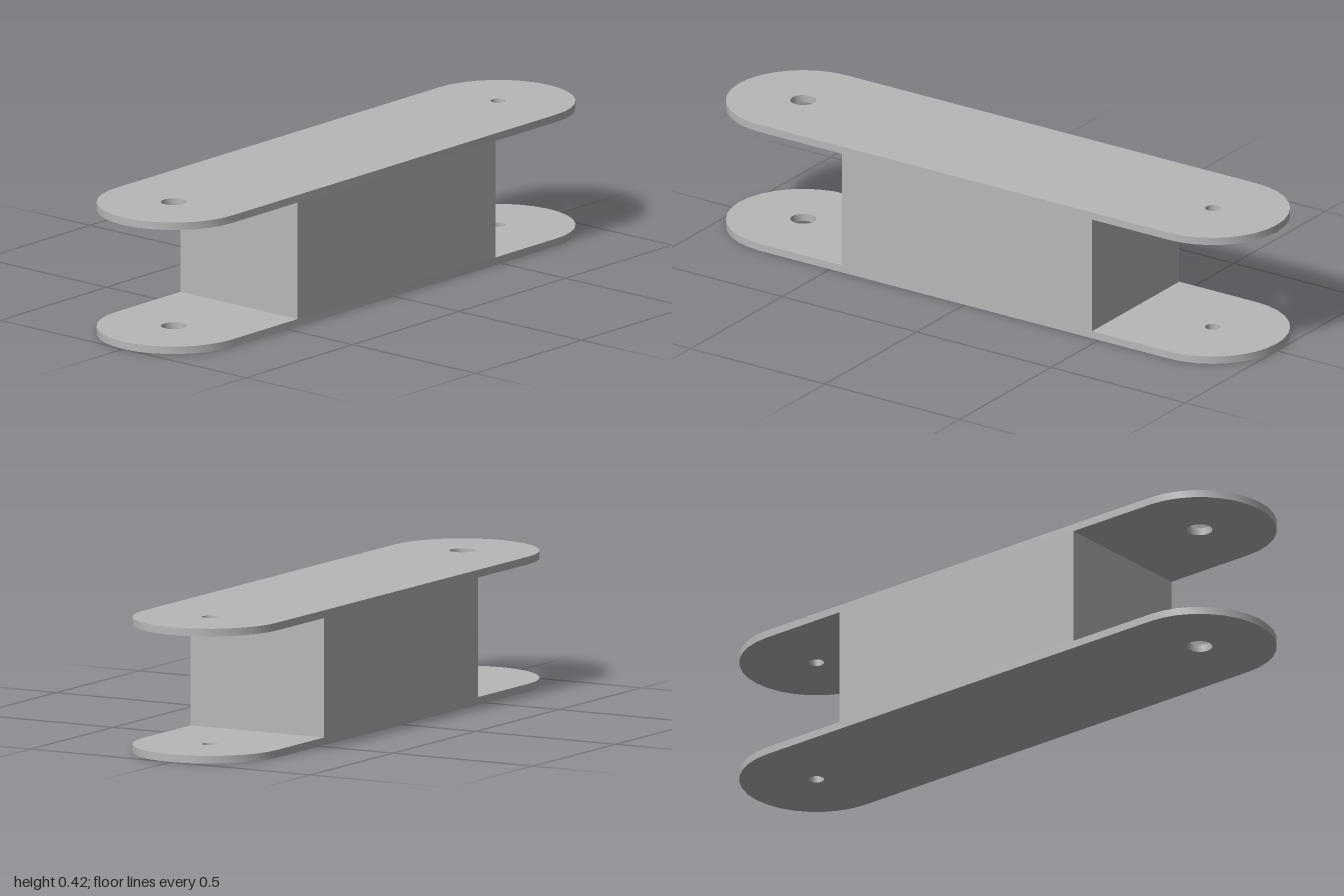
import * as THREE from 'three';
import { toCreasedNormals } from 'three/addons/utils/BufferGeometryUtils.js';

const RADIUS = 0.238;      // rounded plate ends
const END = 1 - RADIUS;    // distance of the end centres from the middle
const HEIGHT = 0.42;
const THICK = 0.024;

// Slotted plate lying flat, with a large hole in front and a small one behind
function plateGeometry() {
  const shape = new THREE.Shape();
  shape.absarc(0, END, RADIUS, 0, Math.PI);
  shape.absarc(0, -END, RADIUS, Math.PI, 2 * Math.PI);
  shape.closePath();
  for (const [z, radius] of [[END, 0.04], [-END, 0.024]]) {
    const hole = new THREE.Path();
    hole.absarc(0, -z, radius, 0, 2 * Math.PI, true);
    shape.holes.push(hole);
  }
  const geometry = new THREE.ExtrudeGeometry(shape, {
    depth: THICK, bevelEnabled: false, curveSegments: 8,
  });
  geometry.rotateX(-Math.PI / 2);
  return toCreasedNormals(geometry, Math.PI / 6);
}

export function createModel() {
  const group = new THREE.Group();
  group.name = 'linkBracket';
  const metal = new THREE.MeshStandardMaterial({ color: 0xb8b8b8 });
  metal.name = 'grey metal';

  // Two identical plates
  const plate = plateGeometry();
  for (const [name, y] of [['bottomPlate', 0], ['topPlate', HEIGHT - THICK]]) {
    const mesh = new THREE.Mesh(plate, metal);
    mesh.name = name;
    mesh.position.y = y;
    group.add(mesh);
  }

  // Solid spacer between the plates, set slightly to the back
  const front = 0.455, back = -0.475;
  const block = new THREE.Mesh(
    new THREE.BoxGeometry(2 * RADIUS, HEIGHT - 2 * THICK, front - back), metal);
  block.name = 'centreBlock';
  block.position.set(0, HEIGHT / 2, (front + back) / 2);
  group.add(block);

  return group;
}
